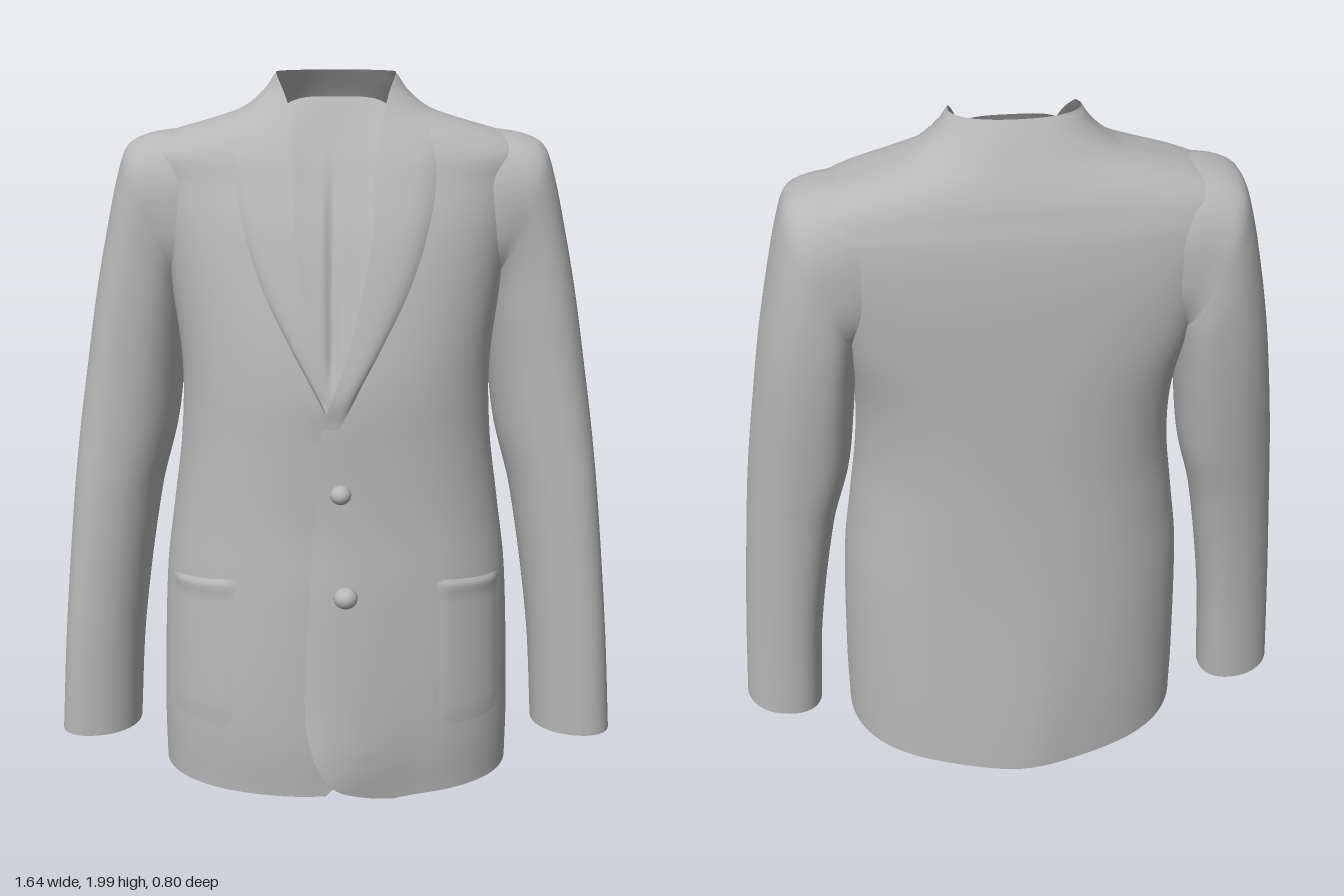
import * as THREE from 'three';
import { mergeVertices } from 'three/addons/utils/BufferGeometryUtils.js';

// Smooth (cubic) lookup of column c in a table whose rows start with a rising key
function look(table, y, c = 1) {
  const n = table.length;
  if (y <= table[0][0]) return table[0][c];
  if (y >= table[n - 1][0]) return table[n - 1][c];
  let i = 0;
  while (y > table[i + 1][0]) i++;
  const slope = (k) => {
    const a = table[Math.max(k - 1, 0)], b = table[Math.min(k + 1, n - 1)];
    return (b[c] - a[c]) / (b[0] - a[0]);
  };
  const h = table[i + 1][0] - table[i][0], t = (y - table[i][0]) / h;
  const t2 = t * t, t3 = t2 * t;
  return (2 * t3 - 3 * t2 + 1) * table[i][c] + (t3 - 2 * t2 + t) * h * slope(i)
    + (3 * t2 - 2 * t3) * table[i + 1][c] + (t3 - t2) * h * slope(i + 1);
}

// Surface from f(u, v) -> [x, y, z]; u runs right, v runs up
function grid(f, cols, rows) {
  const pos = [], idx = [], w = cols + 1;
  for (let j = 0; j <= rows; j++)
    for (let i = 0; i <= cols; i++) pos.push(...f(i / cols, j / rows));
  for (let j = 0; j < rows; j++)
    for (let i = 0; i < cols; i++) {
      const a = j * w + i;
      idx.push(a, a + 1, a + w + 1, a, a + w + 1, a + w);
    }
  let g = new THREE.BufferGeometry();
  g.setAttribute('position', new THREE.Float32BufferAttribute(pos, 3));
  g.setIndex(idx);
  g = mergeVertices(g, 1e-5);
  g.computeVertexNormals();
  return g;
}

const smooth = THREE.MathUtils.smoothstep;
const lerp = THREE.MathUtils.lerp;
const spow = (v, p) => Math.sign(v) * Math.abs(v) ** p;

// Body sections: y, half width, front z, back z, z of the widest point, roundness of the back
const BODY = [
  [0, .505, .315, -.367, 0, .88], [.2, .505, .325, -.362, 0, .88],
  [.6, .49, .305, -.345, -.02, .88], [.8, .465, .287, -.34, -.03, .88],
  [1, .44, .28, -.335, -.04, .82], [1.2, .435, .272, -.335, -.06, .65],
  [1.4, .46, .235, -.335, -.08, .38], [1.6, .5, .18, -.33, -.1, .28],
  [1.72, .53, .13, -.316, -.11, .3], [1.78, .548, .105, -.3, -.11, .4],
  [1.81, .52, .09, -.292, -.11, .5], [1.84, .455, .075, -.28, -.11, .6],
  [1.87, .352, .06, -.266, -.11, .7], [1.9, .265, .045, -.25, -.11, .8],
  [1.95, .2, .02, -.222, -.105, .87], [2, .165, -.01, -.19, -.1, .87],
];
// Front edges of the two panels: y, x
const LEFT_EDGE = [
  [0, .16], [.02, .09], [.06, .01], [.12, -.04], [.2, -.072], [.3, -.086], [.5, -.08], [.8, -.06],
  [1, -.048], [1.08, -.04], [1.18, -.008], [1.25, .02], [1.4, .06], [1.6, .1], [1.75, .105],
  [1.9, .13], [1.95, .143], [2, .165],
];
const RIGHT_EDGE = [
  [0, -.03], [.06, .02], [.15, .03], [1, .03], [1.08, .01], [1.15, -.022], [1.28, -.06],
  [1.45, -.09], [1.6, -.11], [1.8, -.116], [1.9, -.123], [1.95, -.14], [2, -.165],
];
// How far the overlapping panel stands forward: y, offset
const LIP = [[0, .088], [.1, .085], [.3, .053], [.6, .03], [.9, .017], [1.1, .018], [1.35, 0], [2, 0]];
const LAPEL = [
  [1.08, .005], [1.2, .065], [1.3, .12], [1.45, .195], [1.6, .245], [1.75, .268], [1.85, .25],
  [1.9, .225], [1.96, .18],
];
const POWER = 2.3;

// Point on the body; angle 0 is the front centre, PI the back centre
function bodyPoint(angle, y, offset = 0) {
  const w = look(BODY, y, 1), zc = look(BODY, y, 4);
  const s = Math.sin(angle), c = Math.cos(angle);
  const p = c > 0 ? 2 / POWER : look(BODY, y, 5);
  const depth = c > 0 ? look(BODY, y, 2) - zc : zc - look(BODY, y, 3);
  return [w * spow(s, 2 / POWER) + offset * s, y, zc + depth * spow(c, p) + offset * c];
}
function angleAt(x, y) {
  const r = THREE.MathUtils.clamp(x / look(BODY, y, 1), -1, 1);
  return Math.asin(spow(r, POWER / 2));
}
function frontPoint(x, y, offset) {
  const p = bodyPoint(angleAt(x, y), y, offset);
  if (x > look(LEFT_EDGE, y) - .002) p[2] += look(LIP, y) * (1 - smooth(x, -.1, .25));
  return p;
}

// Sleeve rings, fanning round the armpit at the top:
// key, inner x, inner y, outer x, outer y, back z, front z, forward shift of the outer side
const SLEEVE = [
  [.08, .592, .08, .82, .08, -.15, .068, .025], [.4, .57, .4, .797, .4, -.17, .067, .03],
  [.8, .512, .8, .76, .8, -.215, .055, .035], [1, .462, 1, .737, 1, -.25, .045, .035],
  [1.2, .44, 1.18, .708, 1.2, -.28, .04, .03], [1.4, .43, 1.3, .676, 1.4, -.3, .04, .025],
  [1.6, .425, 1.37, .636, 1.6, -.311, .04, .02], [1.75, .42, 1.4, .604, 1.735, -.311, .045, .015],
  [1.84, .42, 1.4, .577, 1.802, -.309, .05, .01], [1.9, .41, 1.4, .53, 1.828, -.306, .056, .005],
  [1.97, .4, 1.4, .455, 1.842, -.304, .06, 0], [2.05, .38, 1.4, .37, 1.845, -.298, .055, 0],
];

export function createModel() {
  const model = new THREE.Group();
  model.name = 'jacket';
  const cloth = new THREE.MeshStandardMaterial({ color: 0xb6b6b6, side: THREE.DoubleSide });
  cloth.name = 'grey cloth';
  const add = (name, geometry) => {
    const mesh = new THREE.Mesh(geometry, cloth);
    mesh.name = name;
    model.add(mesh);
    return mesh;
  };

  // Body: one open shell from the left front edge, round the back, to the right front edge
  const heights = [];
  for (let y = 0; y < .12; y += .01) heights.push(y);
  for (let y = .12; y < 1.7; y += .03) heights.push(y);
  for (let y = 1.7; y < 1.995; y += .01) heights.push(y);
  heights.push(2);
  const rows = heights.length - 1;
  add('body', grid((u, v) => {
    const y = heights[Math.round(v * rows)];
    const a0 = angleAt(look(LEFT_EDGE, y), y);
    const a1 = 2 * Math.PI + angleAt(look(RIGHT_EDGE, y), y);
    const a = lerp(a0, a1, u), p = bodyPoint(a, y);
    if (a < Math.PI / 2) p[2] += look(LIP, y) * (1 - smooth(p[0], -.1, .25));
    else if (a > 1.5 * Math.PI) p[2] -= .01 * smooth(p[0], -.15, .03) * (1 - smooth(y, 1.05, 1.15));
    // flare along the spine and a slightly raised hem
    else p[2] -= .03 * Math.exp(-((p[0] / .16) ** 2)) * (1 - smooth(y, 0, .9));
    p[1] += .01 * (1 - smooth(y, 0, .1));
    return p;
  }, 140, rows));

  // Lapels: raised strips along both sides of the neckline
  for (const side of [1, -1]) {
    add(side > 0 ? 'leftLapel' : 'rightLapel', grid((u, v) => {
      const y = lerp(1.09, 1.95, v);
      const inner = side > 0 ? look(LEFT_EDGE, y) : look(RIGHT_EDGE, y);
      const wide = Math.min(look(LAPEL, y), look(BODY, y, 1) * .95);
      const outer = side > 0 ? Math.max(wide, inner + .01) : Math.min(-wide, inner - .01);
      const s = side > 0 ? u : 1 - u;
      const lift = .014 * (1 - s ** 5) * smooth(v, 0, .1) * (1 - smooth(v, .7, 1)) + .001;
      return frontPoint(lerp(inner, outer, s), y, lift);
    }, 14, 40));
  }

  // Inner panel filling the neckline, with an arched top and a centre crease
  add('innerPanel', grid((u, v) => {
    const k = 2 * u - 1;
    const y = lerp(1, 1.94 - .04 * k ** 4, v);
    const l = look(LEFT_EDGE, y), r = look(RIGHT_EDGE, y);
    const x = lerp(Math.min(l, r) - .03, Math.max(l, r) + .03, u);
    const crease = .015 * Math.exp(-(((x + .01) / .014) ** 2))
      * smooth(y, 1.15, 1.3) * (1 - smooth(y, 1.6, 1.85));
    const p = bodyPoint(angleAt(x, y), y);
    return [x, y, p[2] - lerp(.006, .042, smooth(v, 0, .5) * .5 + v * .5) * (1 - .5 * k * k) - crease];
  }, 28, 40));

  // Sleeves: open at the cuff, turning over the shoulder into the body
  for (const side of [1, -1]) {
    add(side > 0 ? 'leftSleeve' : 'rightSleeve', grid((u, v) => {
      const key = v < .6 ? lerp(.08, 1.5, v / .6) : lerp(1.5, 2.05, (v - .6) / .4);
      const [x0, y0, x1, y1, z0, z1, shift] = [1, 2, 3, 4, 5, 6, 7].map((c) => look(SLEEVE, key, c));
      const a = u * 2 * Math.PI * side, s = Math.sin(a) * side, c = Math.cos(a);
      const p = lerp(.92, .8, smooth(key, .8, 1.6));
      const t = .5 + .5 * spow(s, p);
      return [side * lerp(x0, x1, t), lerp(y0, y1, t),
        (z0 + z1) / 2 + (z1 - z0) / 2 * spow(c, p) + shift * s];
    }, 56, 60));
  }

  // Patch pockets: shallow raised areas with a lip along the top
  for (const side of [1, -1]) {
    add(side > 0 ? 'leftPocket' : 'rightPocket', grid((u, v) => {
      const s = side > 0 ? u : 1 - u;
      const y = lerp(.15, .655, v) - (v > .5 ? .03 * s * v : 0);
      const edge = smooth(s, 0, .25) * (1 - smooth(s, .75, 1)) * smooth(v, 0, .25);
      const lift = -.003 + edge * (v > .99 ? 0 : .006 + .005 * smooth(v, .88, .96));
      const x = side * lerp(.26, look(BODY, y, 1) * .985, s);
      return frontPoint(x, y, lift);
    }, 18, 40));
  }

  // Buttons on the overlapping panel
  for (const [x, y, z, r] of [[.012, .91, .302, .029], [.026, .63, .345, .033]]) {
    const button = add('button', new THREE.SphereGeometry(r, 20, 14));
    button.position.set(x, y, z);
    button.scale.set(1, .9, 1);
    const shank = add('buttonShank', new THREE.CylinderGeometry(r * .4, r * .4, .04, 12));
    shank.rotation.x = Math.PI / 2;
    shank.position.set(x, y, z - .02);
  }
  return model;
}
